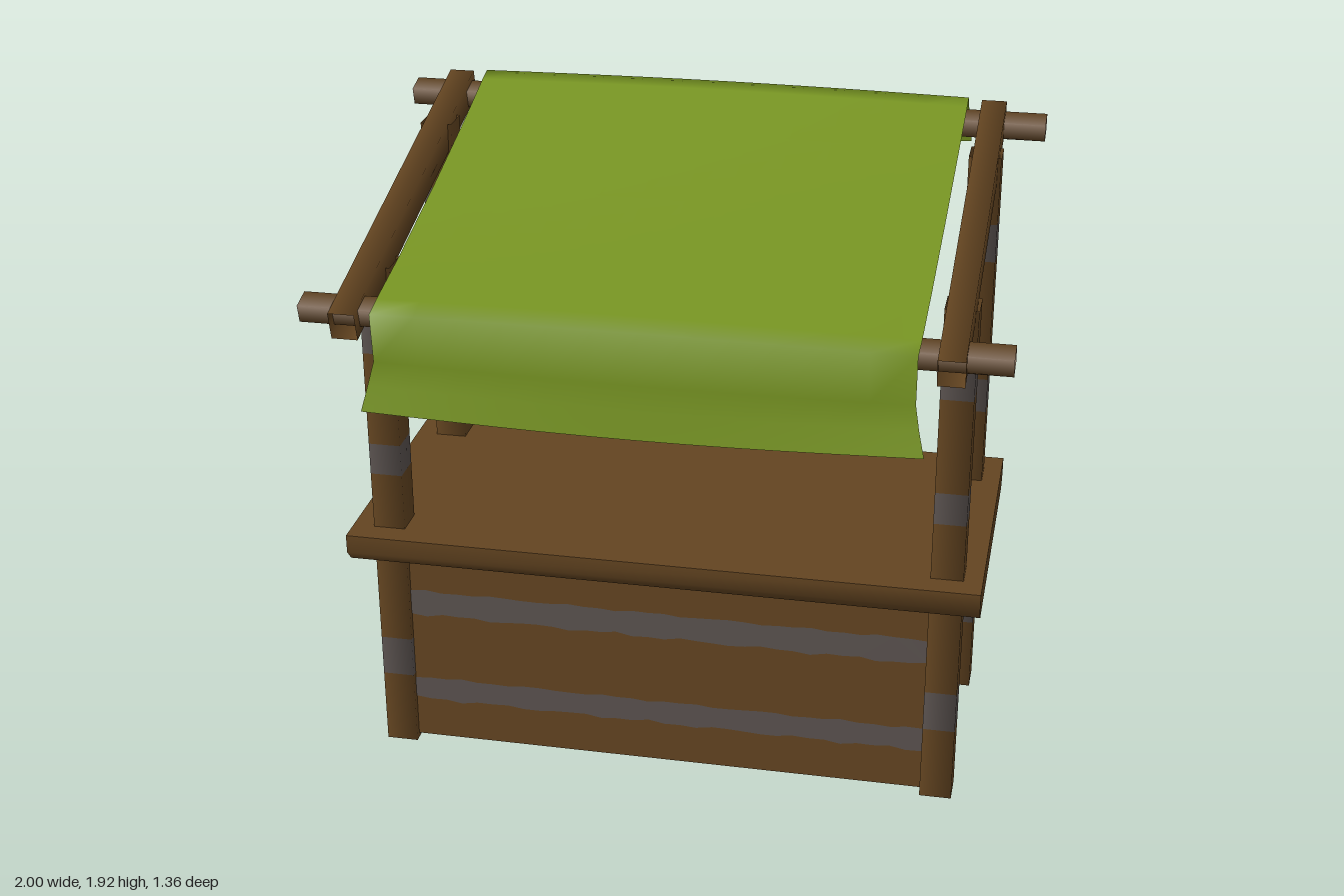
import * as THREE from 'three';
import { toCreasedNormals } from 'three/addons/utils/BufferGeometryUtils.js';

export function createModel() {
  const group = new THREE.Group();
  const material = (name, color) => {
    const m = new THREE.MeshStandardMaterial({ color, side: THREE.DoubleSide });
    m.name = name;
    return m;
  };
  const wood = material('brown wood', 0x644521);
  const worn = material('grey worn wood', 0x5b5350);
  const cloth = material('green cloth', 0x769322);

  const add = (name, geometry, mat, parent = group) => {
    const mesh = new THREE.Mesh(geometry, mat);
    mesh.name = name;
    parent.add(mesh);
    return mesh;
  };
  // Hollow square timber standing on y, softly shaded around its sides
  const timber = (width, length, depth = width) => {
    const r = Math.SQRT1_2;
    return new THREE.CylinderGeometry(r, r, length, 4, 1, true)
      .rotateY(Math.PI / 4).scale(width, 1, depth);
  };

  const sides = [['right', -0.86], ['left', 0.836]];

  // Posts, cut into plain and worn lengths
  const posts = [
    ['front', 0.297, [0, 0.24, 0.37, 0.94, 1.04, 1.335, 1.43, 1.61]],
    ['back', -0.367, [0, 0.24, 0.37, 1.0, 1.11, 1.5, 1.62, 1.83]],
  ];
  for (const [sideName, x] of sides) {
    for (const [endName, z, cuts] of posts) {
      const post = new THREE.Group();
      post.name = `${endName} ${sideName} post`;
      post.position.set(x, 0, z);
      group.add(post);
      for (let i = 0; i < cuts.length - 1; i++) {
        const length = cuts[i + 1] - cuts[i];
        add(i % 2 ? 'worn band' : 'post length', timber(0.097, length),
          i % 2 ? worn : wood, post).position.y = cuts[i] + length / 2;
      }
    }
    // Sloping rafter over each pair of posts
    const rafter = add(`${sideName} rafter`, timber(0.076, 1.31, 0.086), wood);
    rafter.position.set(x, 1.705, -0.003);
    rafter.rotation.x = -Math.PI / 2 + Math.atan2(0.328, 1.267);
  }

  // Cross poles carrying the cloth
  for (const [name, y, z] of [['front', 1.565, 0.564], ['back', 1.85, -0.578]]) {
    const pole = add(`${name} cross pole`, timber(0.055, 2, 0.07).rotateZ(Math.PI / 2), wood);
    pole.position.set(0, y, z);
    pole.rotation.x = 0.25;
  }

  // Counter with chamfered lower edges, extruded along x
  const profile = new THREE.Shape([
    [0.388, 0.667], [0.42, 0.703], [0.42, 0.76], [-0.494, 0.76], [-0.494, 0.703], [-0.462, 0.667],
  ].map(([z, y]) => new THREE.Vector2(z, y)));
  const counter = new THREE.ExtrudeGeometry(profile, { depth: 1.915, bevelEnabled: false })
    .rotateY(-Math.PI / 2).translate(0.941, 0, 0);
  add('counter', toCreasedNormals(counter, 0.78), wood);

  // Front panel
  add('front panel', new THREE.BoxGeometry(1.62, 0.66, 0.034), wood).position.set(-0.0125, 0.345, 0.307);

  // Worn stripes with ragged edges, on both faces of the panel
  const stripe = (low, high, seed) => {
    const n = 32, top = [], bottom = [];
    for (let i = 0; i <= n; i++) {
      const x = -0.8 + 1.6 * i / n;
      const wave = 0.004 * Math.sin(i * 1.3 + seed) + 0.003 * Math.sin(i * 2.9 + seed * 2);
      bottom.push(new THREE.Vector2(x, low + wave));
      top.unshift(new THREE.Vector2(x, high - 0.7 * wave));
    }
    return new THREE.ShapeGeometry(new THREE.Shape([...bottom, ...top]));
  };
  [[0.15, 0.227, 1], [0.455, 0.538, 4]].forEach(([low, high, seed]) => {
    add('front worn stripe', stripe(low, high, seed), worn).position.set(-0.0125, 0, 0.327);
    const back = add('back worn stripe', stripe(low, high, seed), worn);
    back.rotation.y = Math.PI;
    back.position.set(-0.0125, 0, 0.287);
  });

  // Cloth cross-sections from back hem to front hem, sagging between the poles:
  // z, y, right x, left x, rise at middle, forward bow at middle
  const rows = [
    [-0.677, 1.76, -0.79, 0.77, -0.01, 0],
    [-0.665, 1.84, -0.782, 0.76, 0, 0],
    [-0.633, 1.914, -0.78, 0.757, 0.008, 0],
    [-0.58, 1.9, -0.78, 0.757, 0.01, 0],
    [-0.35, 1.832, -0.779, 0.755, 0.008, 0],
    [0, 1.74, -0.777, 0.753, 0.008, 0],
    [0.35, 1.656, -0.775, 0.751, 0.008, 0],
    [0.58, 1.612, -0.773, 0.75, 0.006, 0],
    [0.655, 1.595, -0.772, 0.748, 0.004, 0],
    [0.647, 1.45, -0.77, 0.747, -0.006, 0.01],
    [0.661, 1.38, -0.787, 0.76, -0.012, 0.006],
    [0.679, 1.308, -0.805, 0.778, -0.018, 0],
  ];
  const columns = 12, positions = [], index = [];
  rows.forEach(([z, y, x0, x1, rise, bow], r) => {
    for (let c = 0; c <= columns; c++) {
      const t = c / columns, middle = Math.sin(Math.PI * t);
      positions.push(x0 + (x1 - x0) * t, y + rise * middle, z + bow * middle);
      if (r && c) {
        const d = r * (columns + 1) + c, b = d - columns - 1;
        index.push(b - 1, d - 1, b, b, d - 1, d);
      }
    }
  });
  const canopy = new THREE.BufferGeometry();
  canopy.setAttribute('position', new THREE.Float32BufferAttribute(positions, 3));
  canopy.setIndex(index);
  canopy.computeVertexNormals();
  add('cloth canopy', canopy, cloth);

  return group;
}
